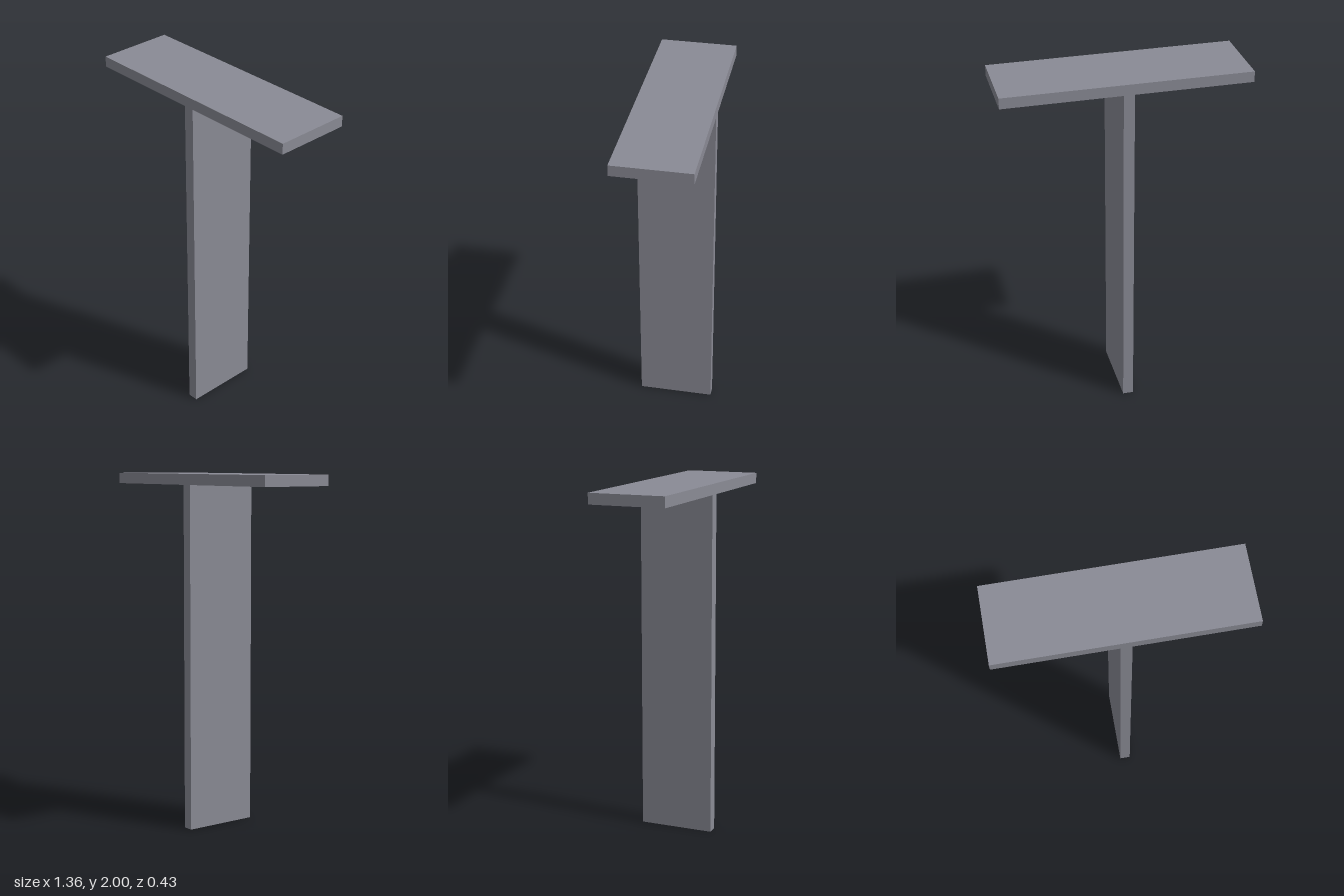
import * as THREE from 'three';

const HALF_WIDTH = 0.68, HEIGHT = 2, THICKNESS = 0.06, DEPTH = 0.427;

export function createModel() {
  const model = new THREE.Group();
  model.name = 'teeBeam';
  const steel = new THREE.MeshStandardMaterial({ color: 0x8a8b95 });
  steel.name = 'steel grey';

  // T-shaped section: thin upright web under a wide flat flange
  const w = THICKNESS / 2, under = HEIGHT - THICKNESS;
  const section = new THREE.Shape([
    [-w, 0], [w, 0], [w, under], [HALF_WIDTH, under],
    [HALF_WIDTH, HEIGHT], [-HALF_WIDTH, HEIGHT], [-HALF_WIDTH, under], [-w, under],
  ].map(([x, y]) => new THREE.Vector2(x, y)));

  // The section runs straight from back to front
  const geometry = new THREE.ExtrudeGeometry(section, { depth: DEPTH, bevelEnabled: false });
  geometry.translate(0, 0, -DEPTH / 2);
  const beam = new THREE.Mesh(geometry, steel);
  beam.name = 'webAndFlange';
  model.add(beam);
  return model;
}
